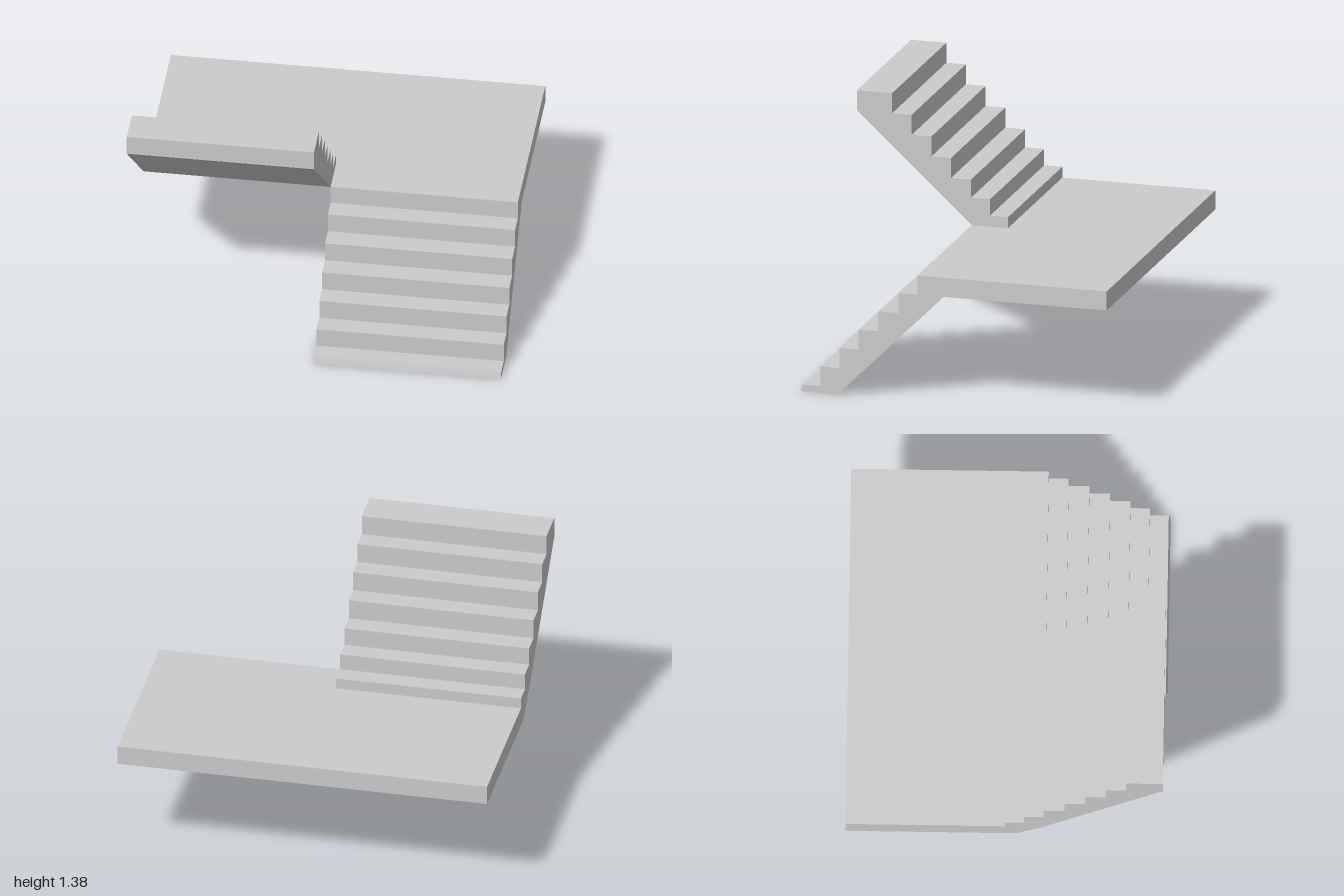
import * as THREE from 'three';

const LANDING_TOP = 0.69, LANDING_BOTTOM = 0.585, BACK = -0.845;

// Extrudes a [z, y] side profile one unit wide, ending at x = xMax
function flight(name, profile, xMax, material) {
  const shape = new THREE.Shape(profile.map(([z, y]) => new THREE.Vector2(z, y)));
  const geometry = new THREE.ExtrudeGeometry(shape, { depth: 1, bevelEnabled: false });
  geometry.rotateY(-Math.PI / 2).translate(xMax, 0, 0);
  const mesh = new THREE.Mesh(geometry, material);
  mesh.name = name;
  return mesh;
}

// Stepped outline: each [z, y] is a riser position and the tread height after it
function steps(startY, list) {
  const points = [];
  let y = startY;
  for (const [z, nextY] of list) {
    points.push([z, y], [z, nextY]);
    y = nextY;
  }
  return points;
}

export function createModel() {
  const group = new THREE.Group();
  const material = new THREE.MeshStandardMaterial({ color: 0xcccccc, flatShading: true });

  // Landing slab across the full width
  const landing = new THREE.Mesh(
    new THREE.BoxGeometry(2, LANDING_TOP - LANDING_BOTTOM, -BACK), material);
  landing.position.set(0, (LANDING_TOP + LANDING_BOTTOM) / 2, BACK / 2);
  landing.name = 'landing';
  group.add(landing);

  // Lower flight descends towards the front on the left half
  const lower = [
    [0, LANDING_BOTTOM], [0, LANDING_TOP],
    ...steps(LANDING_TOP, [[0.2, 0.585], [0.305, 0.475], [0.415, 0.365],
      [0.525, 0.255], [0.632, 0.145], [0.735, 0.037]]),
    [0.835, 0.037], [0.845, 0], [0.64, 0], [0.055, LANDING_BOTTOM],
  ];
  group.add(flight('lowerFlight', lower, 1, material));

  // Upper flight climbs towards the front on the right half
  const upper = [
    [0, LANDING_BOTTOM],
    ...steps(LANDING_TOP, [[0, 0.75], [0.1, 0.84], [0.205, 0.94], [0.315, 1.05],
      [0.423, 1.16], [0.532, 1.27], [0.64, 1.38]]),
    [0.835, 1.38], [0.835, 1.27], [0.2, LANDING_TOP], [0.06, LANDING_BOTTOM],
  ];
  group.add(flight('upperFlight', upper, 0, material));

  return group;
}
